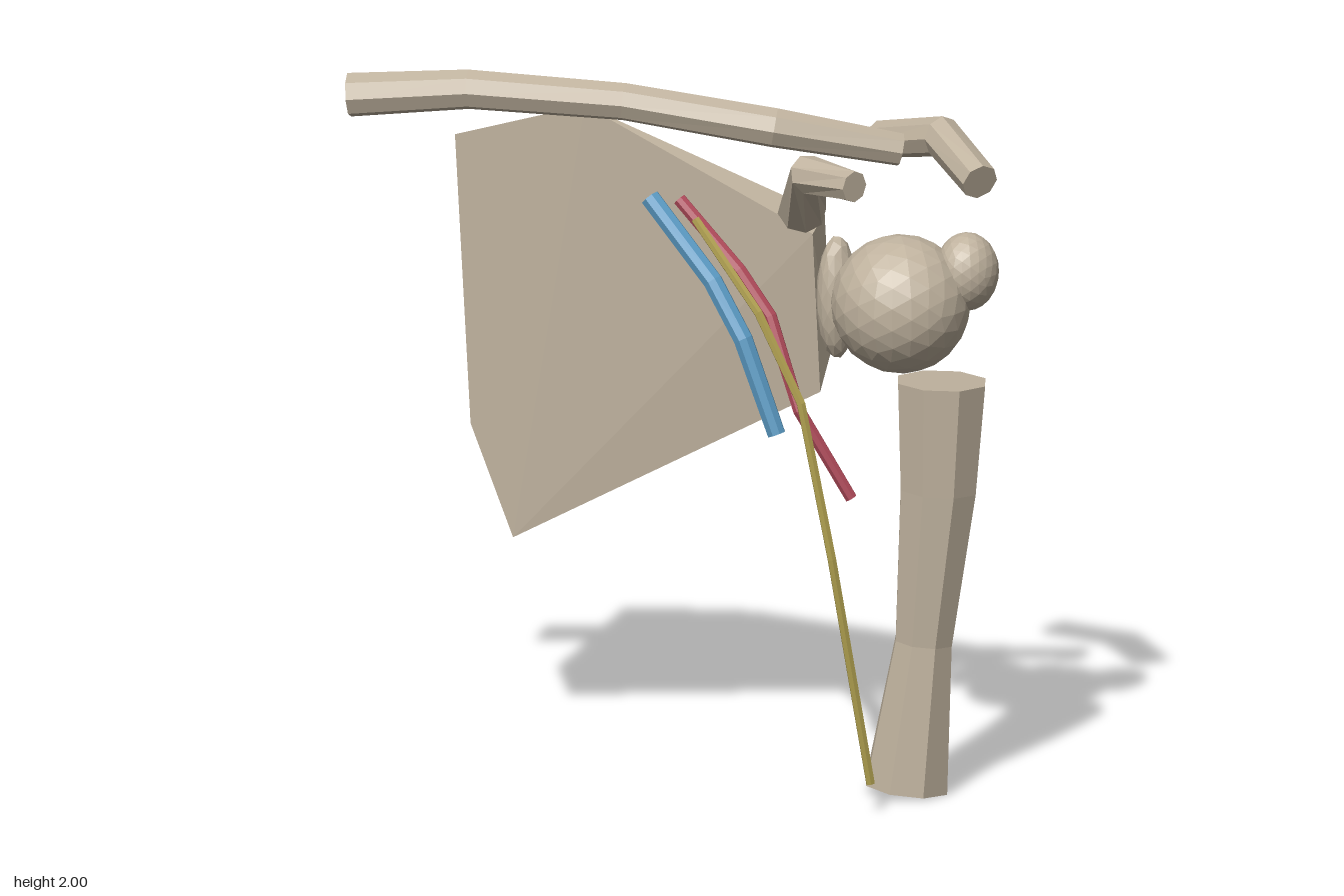
import * as THREE from 'three';
import { ConvexGeometry } from 'three/addons/geometries/ConvexGeometry.js';

const V = (p) => new THREE.Vector3(p[0], p[1], p[2]);

// Faceted tube through points [x, y, z, radius], with flat end caps
function tube(points, sides, up) {
  const centres = points.map(V);
  const ref = V(up);
  const n = points.length;
  const pos = [];
  const index = [];
  for (let i = 0; i < n; i++) {
    const t = new THREE.Vector3();
    if (i > 0) t.add(centres[i].clone().sub(centres[i - 1]).normalize());
    if (i < n - 1) t.add(centres[i + 1].clone().sub(centres[i]).normalize());
    t.normalize();
    const u = t.clone().cross(ref).normalize();
    const v = t.clone().cross(u);
    for (let j = 0; j < sides; j++) {
      const a = (j / sides) * Math.PI * 2;
      const p = centres[i].clone()
        .addScaledVector(u, Math.cos(a) * points[i][3])
        .addScaledVector(v, Math.sin(a) * points[i][3]);
      pos.push(p.x, p.y, p.z);
    }
  }
  for (let i = 0; i < n - 1; i++) {
    for (let j = 0; j < sides; j++) {
      const k = (j + 1) % sides;
      const a = i * sides + j, b = i * sides + k;
      index.push(a, b, a + sides, b, b + sides, a + sides);
    }
  }
  const last = (n - 1) * sides;
  for (let j = 1; j < sides - 1; j++) {
    index.push(0, j + 1, j, last, last + j, last + j + 1);
  }
  const g = new THREE.BufferGeometry();
  g.setAttribute('position', new THREE.Float32BufferAttribute(pos, 3));
  g.setIndex(index);
  g.computeVertexNormals();
  return g;
}

export function createModel() {
  const group = new THREE.Group();
  group.name = 'shoulder';
  const material = (name, color) => {
    const m = new THREE.MeshStandardMaterial({ color, flatShading: true });
    m.name = name;
    return m;
  };
  const bone = material('bone', 0xbfb29e);
  const blue = material('veinBlue', 0x5b9bc4);
  const red = material('arteryRed', 0xb04a5a);
  const yellow = material('nerveYellow', 0xb0a050);

  const add = (name, geometry, mat) => {
    const mesh = new THREE.Mesh(geometry, mat);
    mesh.name = name;
    group.add(mesh);
    return mesh;
  };
  const blob = (name, centre, radii, detail) => {
    const g = new THREE.IcosahedronGeometry(1, detail);
    g.scale(...radii);
    g.translate(...centre);
    return add(name, g, bone);
  };
  const Y = [0, 1, 0], Z = [0, 0, 1];

  // Shoulder blade: flat front, bevelled back, sharp inner border
  add('scapula', new ConvexGeometry([
    [-0.775, 1.685, -0.18], [-0.38, 1.81, -0.163], [0.3, 1.51, -0.165],
    [0.31, 1.055, -0.195], [-0.595, 0.56, -0.165], [-0.725, 0.87, -0.172],
    [-0.46, 1.71, -0.248], [0.29, 1.54, -0.275], [0.31, 1.155, -0.275], [-0.45, 0.66, -0.25],
  ].map(V)), bone);

  // Shoulder bones
  add('clavicle', tube([
    [-0.865, 1.915, 0.36, 0.062], [-0.54, 1.945, 0.285, 0.056], [-0.12, 1.925, 0.175, 0.053],
    [0.29, 1.87, 0.085, 0.056], [0.595, 1.797, -0.088, 0.046],
  ], 8, Y), bone);
  add('acromion', tube([
    [0.41, 1.74, -0.38, 0.052], [0.63, 1.79, -0.295, 0.058], [0.805, 1.71, -0.153, 0.053],
  ], 8, Y), bone);
  add('coracoid', tube([
    [0.295, 1.59, -0.1, 0.068], [0.375, 1.735, 0.043, 0.056], [0.545, 1.735, 0.122, 0.044],
  ], 8, Z), bone);
  blob('glenoid', [0.375, 1.34, -0.16], [0.055, 0.175, 0.07], 2);

  // Upper arm bone
  blob('humeralHead', [0.605, 1.365, -0.065], [0.193, 0.193, 0.193], 3);
  blob('greaterTubercle', [0.77, 1.455, -0.142], [0.088, 0.11, 0.096], 3);
  add('humerus', tube([
    [0.742, 1.167, -0.03, 0.13], [0.735, 0.86, -0.022, 0.112],
    [0.7, 0.43, -0.002, 0.084], [0.653, 0.016, 0.008, 0.122],
  ], 8, Z), bone);

  // Vessels and nerve
  add('vein', tube([
    [-0.012, 1.68, 0.25, 0.028], [0.19, 1.47, 0.285, 0.028],
    [0.29, 1.32, 0.307, 0.028], [0.39, 1.06, 0.308, 0.026],
  ], 8, Z), blue);
  add('artery', tube([
    [0.055, 1.67, 0.2, 0.019], [0.24, 1.49, 0.215, 0.02], [0.335, 1.37, 0.223, 0.02],
    [0.437, 1.12, 0.258, 0.018], [0.575, 0.875, 0.217, 0.017],
  ], 8, Z), red);
  add('nerve', tube([
    [0.15, 1.65, 0.315, 0.013], [0.35, 1.41, 0.343, 0.013], [0.48, 1.165, 0.348, 0.013],
    [0.57, 0.73, 0.343, 0.013], [0.657, 0.085, 0.275, 0.013],
  ], 6, Z), yellow);

  return group;
}
